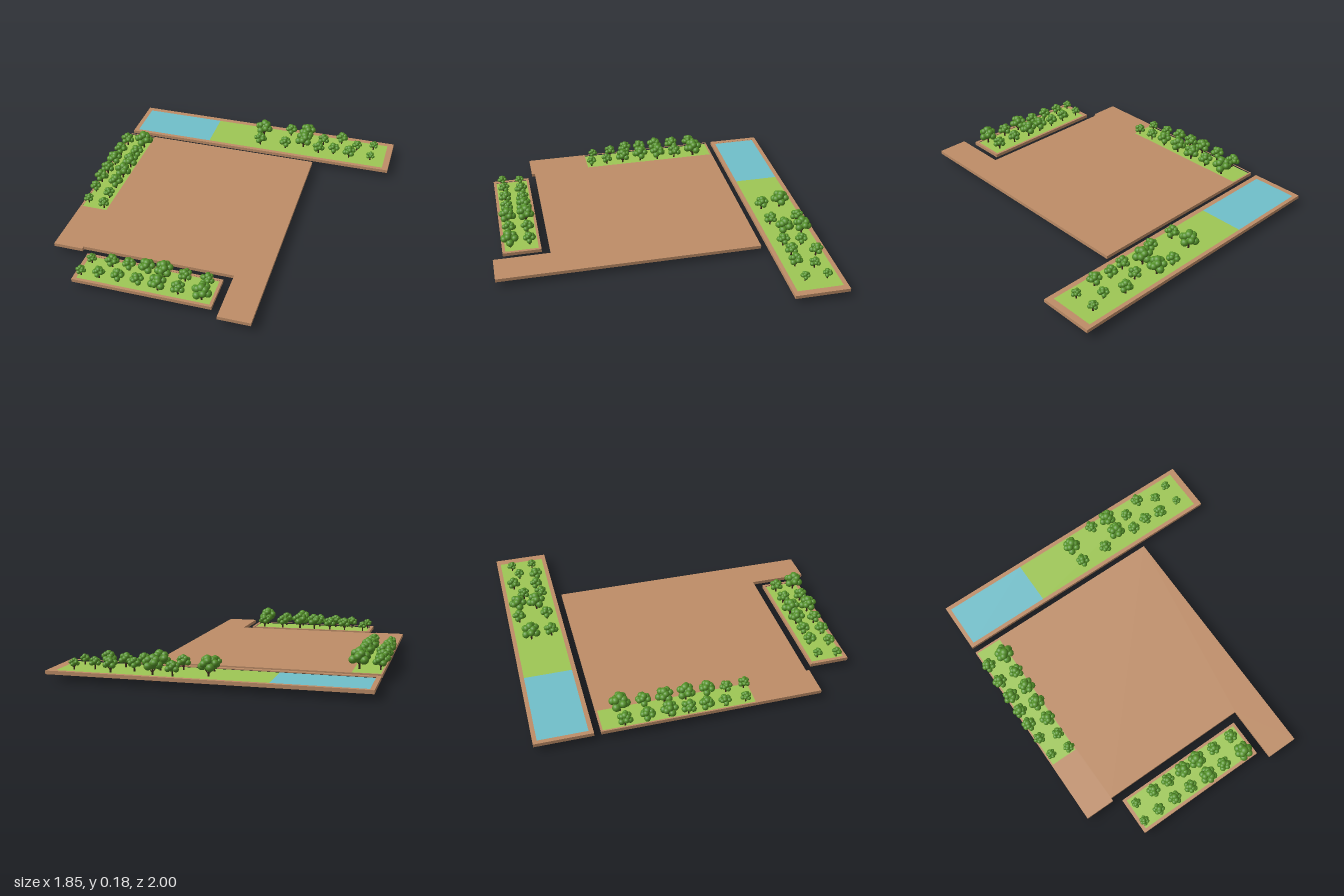
import * as THREE from 'three';
import { mergeGeometries } from 'three/addons/utils/BufferGeometryUtils.js';

const mat = (name, color) => {
  const m = new THREE.MeshStandardMaterial({ color });
  m.name = name;
  return m;
};

const BASE = 0.037, FLOOR = 0.043, BED = 0.051, TOP = 0.058;
const rect = (x0, z0, x1, z1) => [[x0, z0], [x1, z0], [x1, z1], [x0, z1]];

// Trees of each bed: x, z, crown radius, optional trunk foot height
const backTrees = [
  [0.01, -0.88, 0.06], [0.015, -0.755, 0.045], [0.2, -0.93, 0.043], [0.195, -0.755, 0.043],
  [0.32, -0.92, 0.058], [0.315, -0.805, 0.06], [0.445, -0.87, 0.04], [0.43, -0.76, 0.042],
  [0.567, -0.92, 0.043], [0.535, -0.775, 0.042], [0.683, -0.868, 0.035], [0.645, -0.76, 0.045, 0],
  [0.794, -0.905, 0.031], [0.79, -0.77, 0.03],
];
const sideTrees = [
  [-0.88, -0.485, 0.046], [-0.76, -0.49, 0.063], [-0.88, -0.355, 0.047], [-0.76, -0.353, 0.048],
  [-0.875, -0.23, 0.052], [-0.76, -0.23, 0.054], [-0.88, -0.12, 0.046], [-0.765, -0.105, 0.055],
  [-0.88, -0.015, 0.046], [-0.765, 0.02, 0.05], [-0.875, 0.095, 0.038, 0.007], [-0.765, 0.135, 0.038],
  [-0.87, 0.22, 0.032], [-0.757, 0.245, 0.036],
];
const frontTrees = [
  [-0.615, 0.765, 0.031], [-0.487, 0.765, 0.043, 0.005], [-0.38, 0.765, 0.043], [-0.27, 0.765, 0.053],
  [-0.165, 0.765, 0.057], [-0.037, 0.765, 0.043], [0.095, 0.765, 0.043], [-0.635, 0.88, 0.031],
  [-0.525, 0.875, 0.038], [-0.408, 0.875, 0.043], [-0.29, 0.875, 0.043], [-0.165, 0.88, 0.056],
  [-0.043, 0.88, 0.045], [0.1, 0.885, 0.06],
];

// Upright extrusion of a plan outline between two heights
function slab(outline, y0, y1, hole) {
  const pts = list => list.map(([x, z]) => new THREE.Vector2(x, -z));
  const shape = new THREE.Shape(pts(outline));
  if (hole) shape.holes.push(new THREE.Path(pts(hole)));
  const geo = new THREE.ExtrudeGeometry(shape, { depth: y1 - y0, bevelEnabled: false });
  return geo.rotateX(-Math.PI / 2).translate(0, y0, 0);
}

// Unit-radius crown made of overlapping leaf clumps
function crownGeometry() {
  const clumps = [];
  const clump = (x, y, z, r) => clumps.push(new THREE.SphereGeometry(r, 12, 9).translate(x, y, z));
  clump(0, 0, 0, 0.62);
  clump(0.08, 0.5, -0.05, 0.43);
  for (let i = 0; i < 6; i++) {
    const a = i * Math.PI / 3;
    clump(Math.cos(a) * 0.62, i % 2 ? 0.12 : -0.22, Math.sin(a) * 0.62, i % 2 ? 0.36 : 0.4);
  }
  for (let i = 0; i < 3; i++) {
    const a = i * Math.PI * 2 / 3 + 0.4;
    clump(Math.cos(a) * 0.42, 0.38, Math.sin(a) * 0.42, 0.36);
  }
  return mergeGeometries(clumps);
}

export function createModel() {
  const model = new THREE.Group();
  const brown = mat('terracotta deck', 0xbe8d67);
  const grass = mat('grass', 0x9ec755);
  const water = mat('water', 0x70bfca);
  const leaf = mat('leaves', 0x559329);
  const bark = mat('bark', 0x3b2a1e);

  const add = (parent, name, geo, material) => {
    const mesh = new THREE.Mesh(geo, material);
    mesh.name = name;
    parent.add(mesh);
    return mesh;
  };

  // Tray with a solid bottom and a raised surface around its sunken bed
  const tray = (name, outline, hole) => {
    const group = new THREE.Group();
    group.name = name;
    add(group, name + 'Base', slab(outline, BASE, FLOOR), brown);
    add(group, name + 'Rim', slab(outline, FLOOR, TOP, hole), brown);
    model.add(group);
    return group;
  };

  // Back planter, half pool and half lawn
  const back = tray('backPlanter', rect(-0.905, -1, 0.925, -0.665), rect(-0.88, -0.976, 0.885, -0.69));
  add(back, 'pool', slab(rect(-0.88, -0.976, -0.345, -0.69), FLOOR, BED), water);
  add(back, 'backLawn', slab(rect(-0.345, -0.976, 0.885, -0.69), FLOOR, BED), grass);

  // Main terrace with a notch for the front planter
  const outline = [[-0.905, -0.625], [0.417, -0.625], [0.417, 1], [0.222, 1],
    [0.222, 0.65], [-0.72, 0.65], [-0.72, 0.67], [-0.905, 0.67]];
  const sideBed = rect(-0.896, -0.615, -0.73, 0.275);
  const terrace = tray('terrace', outline, sideBed);
  add(terrace, 'sideLawn', slab(sideBed, FLOOR, BED), grass);

  // Front planter
  const frontBed = rect(-0.652, 0.715, 0.155, 0.92);
  const front = tray('frontPlanter', rect(-0.672, 0.7, 0.172, 0.938), frontBed);
  add(front, 'frontLawn', slab(frontBed, FLOOR, BED), grass);

  // Trees, each with a trunk, two branches and a clumped crown
  const crown = crownGeometry();
  const trunk = new THREE.CylinderGeometry(0.75, 1, 1, 7);
  let count = 0;
  for (const [x, z, r, foot = r > 0.052 ? 0.012 : 0.032] of [...backTrees, ...sideTrees, ...frontTrees]) {
    const tree = new THREE.Group();
    tree.name = 'tree';
    tree.position.set(x, 0, z);
    tree.rotation.y = count++ * 2.4;
    const y = 0.062 + r * 0.92;
    const t = 0.0025 + r * 0.07;
    const stem = add(tree, 'trunk', trunk, bark);
    stem.scale.set(t, y - foot, t);
    stem.position.y = (y + foot) / 2;
    for (const s of [-1, 1]) {
      const branch = add(tree, 'branch', trunk, bark);
      branch.scale.set(t * 0.5, r * 0.8, t * 0.5);
      branch.position.set(s * r * 0.22, y - r * 0.6, 0);
      branch.rotation.z = -s * 0.6;
    }
    const top = add(tree, 'crown', crown, leaf);
    top.scale.set(r, r * 0.95, r);
    top.position.y = y + r * 0.02;
    model.add(tree);
  }
  return model;
}
